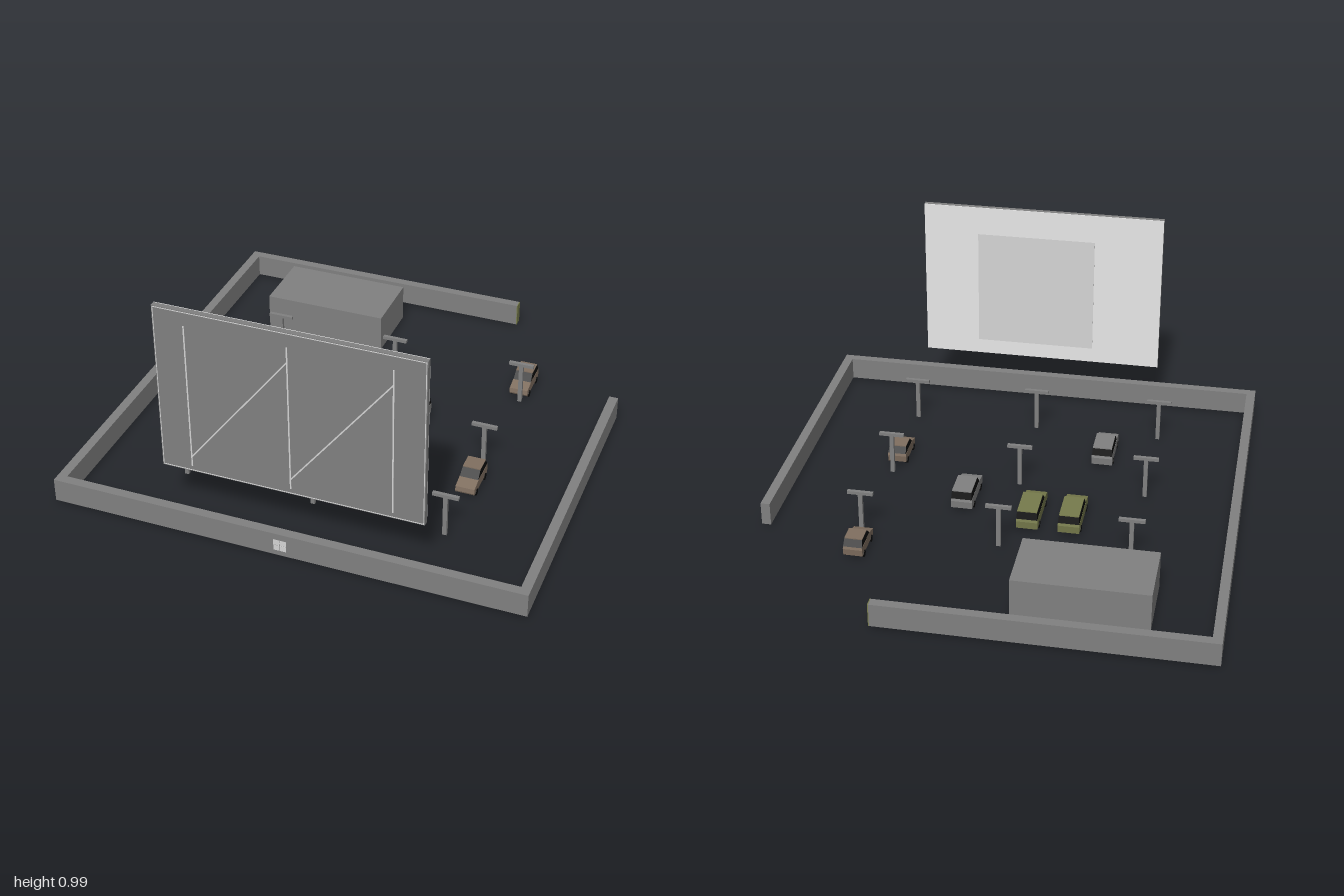
import * as THREE from 'three';

const mat = (name, color) => {
  const m = new THREE.MeshStandardMaterial({ color });
  m.name = name;
  return m;
};

export function createModel() {
  const grey = mat('concrete grey', 0x808080);
  const white = mat('screen white', 0xf7f7f7);
  const pale = mat('pale grey', 0xd4d4d4);
  const olive = mat('olive', 0x777b4c);
  const brown = mat('brown', 0x806f60);
  const black = mat('black', 0x0c0c0c);

  const root = new THREE.Group();
  root.name = 'driveInCinema';

  const add = (parent, name, geometry, material) => {
    const mesh = new THREE.Mesh(geometry, material);
    mesh.name = name;
    parent.add(mesh);
    return mesh;
  };
  // Box given by its minimum and maximum on each axis
  const box = (parent, name, material, [x0, x1], [y0, y1], [z0, z1]) => {
    const mesh = add(parent, name, new THREE.BoxGeometry(x1 - x0, y1 - y0, z1 - z0), material);
    mesh.position.set((x0 + x1) / 2, (y0 + y1) / 2, (z0 + z1) / 2);
    return mesh;
  };
  // Side profile of [z, y] points, extruded across x
  const sideExtrude = (points, width) => {
    const shape = new THREE.Shape(points.map(([z, y]) => new THREE.Vector2(z, y)));
    return new THREE.ExtrudeGeometry(shape, { depth: width, bevelEnabled: false })
      .rotateY(-Math.PI / 2).translate(width / 2, 0, 0);
  };

  // Boundary walls, with an entrance gap at the back left corner
  const walls = new THREE.Group();
  walls.name = 'boundaryWalls';
  root.add(walls);
  const wallY = [0.008, 0.11];
  box(walls, 'frontWall', grey, [-1, 1], wallY, [0.96, 1]);
  box(walls, 'rightWall', grey, [-1, -0.96], wallY, [-0.96, 0.96]);
  box(walls, 'leftWall', grey, [0.96, 1], wallY, [-0.38, 0.96]);
  box(walls, 'backWall', grey, [-1, 0.368], wallY, [-1, -0.96]);
  box(walls, 'backWallEndCap', olive, [0.368, 0.372], wallY, [-1, -0.96]);
  // Small four-pane plate on the front wall
  for (const x of [-0.019, 0.009])
    for (const y of [0.043, 0.069])
      box(walls, 'wallPane', pale, [x - 0.013, x + 0.013], [y - 0.012, y + 0.012], [0.999, 1.001]);

  // Service building
  box(root, 'building', grey, [-0.715, -0.155], [0.008, 0.175], [-0.83, -0.53]);

  // Screen: grey support panel, white projection side facing the cars
  const screen = new THREE.Group();
  screen.name = 'screen';
  root.add(screen);
  const [sx, sy] = [[-0.54, 0.56], [0.25, 0.99]];
  box(screen, 'screenPanel', grey, sx, sy, [0.889, 0.911]);
  box(screen, 'projectionSurface', white, sx, sy, [0.886, 0.889]);
  box(screen, 'pictureArea', pale, [-0.23, 0.31], [0.32, 0.86], [0.884, 0.886]);
  // Thin rim lines and bracing on the outer face
  const lineZ = [0.911, 0.9125];
  for (const x of [-0.535, 0.555]) box(screen, 'rimSide', pale, [x - 0.0015, x + 0.0015], [0.256, 0.984], lineZ);
  for (const y of [0.255, 0.985]) box(screen, 'rimEdge', pale, [-0.5365, 0.5565], [y - 0.0015, y + 0.0015], lineZ);
  for (const x of [-0.41, 0.01, 0.43]) box(screen, 'upright', pale, [x - 0.003, x + 0.003], [0.275, 0.925], lineZ);
  for (const x of [-0.2, 0.22]) {
    const brace = add(screen, 'diagonalBrace',
      new THREE.BoxGeometry(Math.hypot(0.42, 0.54), 0.005, 0.006), pale);
    brace.position.set(x, 0.59, 0.914);
    brace.rotation.z = Math.atan2(0.54, 0.42);
  }

  // T-shaped speaker posts in three rows
  const rows = [[-0.355, [-0.577, -0.022, 0.567]], [0.14, [-0.577, -0.022, 0.555]], [0.645, [-0.577, -0.01, 0.555]]];
  for (const [z, xs] of rows)
    for (const x of xs) {
      const post = new THREE.Group();
      post.name = 'speakerPost';
      post.position.set(x, 0, z);
      root.add(post);
      box(post, 'pole', grey, [-0.009, 0.009], [0.008, 0.191], [-0.008, 0.008]);
      box(post, 'crossbar', grey, [-0.055, 0.055], [0.191, 0.205], [-0.008, 0.008]);
    }

  // Cars face +z; rear is the z of the tail
  const car = (name, paint, x, rear, d) => {
    const group = new THREE.Group();
    group.name = name;
    group.position.set(x, 0, rear);
    root.add(group);
    const { length: L, width: w, belt, roof, glass, roofBack, roofFront } = d;
    add(group, 'body', sideExtrude([
      [0.004, 0.018], [L - 0.004, 0.018], [L, 0.026], [L - 0.003, belt - 0.014],
      [glass, belt], [0.003, belt], [0, belt - 0.012],
    ], w), paint);
    // Dark glasshouse, leaning in towards the roof
    const cabin = sideExtrude([[0.002, belt], [glass, belt], [roofFront, roof], [roofBack, roof]], w - 0.002);
    const p = cabin.attributes.position;
    for (let i = 0; i < p.count; i++) if (p.getY(i) > belt + 0.01) p.setX(i, p.getX(i) * 0.95);
    cabin.computeVertexNormals();
    add(group, 'windows', cabin, black);
    const half = (w - 0.002) * 0.475;
    box(group, 'roof', paint, [-half, half], [roof, roof + 0.004], [roofBack, roofFront]);
    // Wheels
    for (const side of [-1, 1])
      for (const z of d.wheels) {
        const wheel = add(group, 'wheel', new THREE.CylinderGeometry(0.015, 0.015, 0.014, 12).rotateZ(Math.PI / 2), black);
        wheel.position.set(side * (w / 2 - 0.005), 0.015, z);
      }
  };
  const wagon = (length) => ({
    length, width: 0.092, belt: 0.064, roof: 0.096, glass: length - 0.07,
    roofBack: 0.01, roofFront: length - 0.098, wheels: [0.052, length - 0.044],
  });
  const small = {
    length: 0.18, width: 0.082, belt: 0.06, roof: 0.088, glass: 0.125,
    roofBack: 0.02, roofFront: 0.094, wheels: [0.033, 0.147],
  };
  car('oliveWagon', olive, -0.297, -0.23, wagon(0.26));
  car('oliveWagon', olive, -0.118, -0.23, wagon(0.26));
  car('greyWagon', grey, 0.186, -0.124, wagon(0.237));
  car('greyWagon', grey, -0.358, 0.346, wagon(0.237));
  car('brownCar', brown, 0.552, -0.56, small);
  car('brownCar', brown, 0.552, 0.205, small);

  return root;
}
